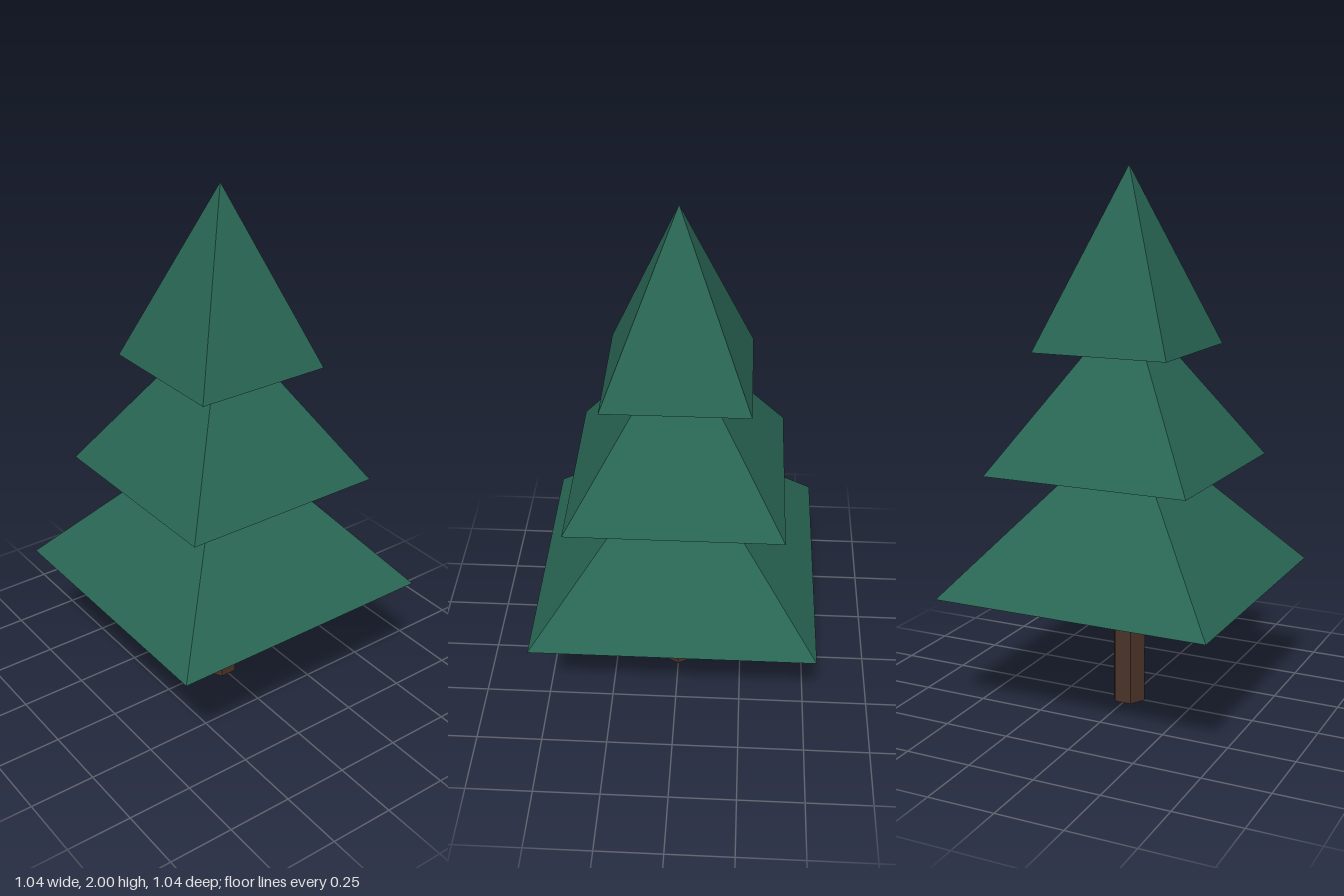
import * as THREE from 'three';

export function createModel() {
  const tree = new THREE.Group();
  tree.name = 'pineTree';

  const needles = new THREE.MeshStandardMaterial({ color: 0x296654, side: THREE.DoubleSide, flatShading: true });
  needles.name = 'needleGreen';
  const bark = new THREE.MeshStandardMaterial({ color: 0x4a3327, flatShading: true });
  bark.name = 'barkBrown';

  // Hexagonal trunk, with corners on the x axis, reaching up inside the branches
  const trunkHeight = 1.11;
  const trunk = new THREE.Mesh(
    new THREE.CylinderGeometry(0.065, 0.065, trunkHeight, 6, 1, false, Math.PI / 2),
    bark
  );
  trunk.name = 'trunk';
  trunk.position.y = trunkHeight / 2;
  tree.add(trunk);

  // Hollow four-sided branch tiers: half width, base height, tip height
  const tiers = [
    ['lowerBranches', 0.52, 0.48, 1.09],
    ['middleBranches', 0.39, 0.917, 1.523],
    ['upperBranches', 0.26, 1.35, 2],
  ];
  for (const [name, half, base, tip] of tiers) {
    const geometry = new THREE.ConeGeometry(half * Math.SQRT2, tip - base, 4, 1, true, Math.PI / 4);
    const tier = new THREE.Mesh(geometry, needles);
    tier.name = name;
    tier.position.y = (base + tip) / 2;
    tree.add(tier);
  }

  return tree;
}
